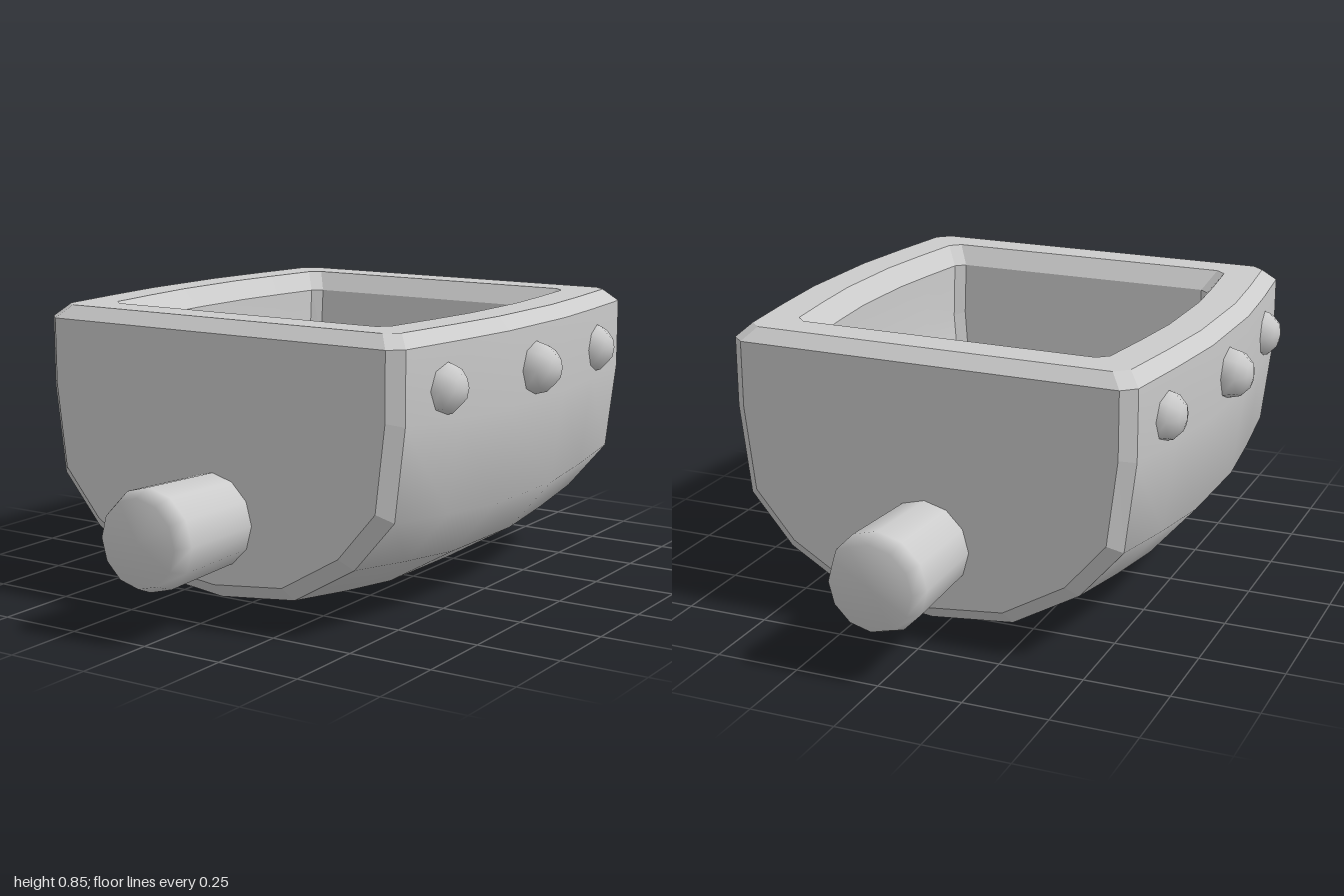
import * as THREE from 'three';

const material = new THREE.MeshStandardMaterial({ color: 0xcccccc });

// Half of the U-shaped section: [half width, drop] as fractions, rim to keel
const half = [[1, 0], [1, 0.27], [0.948, 0.615], [0.74, 0.81], [0.414, 0.963], [0, 1]];
const profile = [...half, ...half.slice(0, -1).reverse().map(([x, d]) => [-x, d])];

// Rings along the barrel: [z, half width, depth below the rim]
const halfRings = [[0.17, 0.667, 0.815], [0.4, 0.645, 0.793], [0.635, 0.616, 0.765], [0.672, 0.576, 0.722]];
const rings = [...halfRings.map(([z, w, d]) => [-z, w, d]).reverse(), ...halfRings];

// Surface through rows of points, smooth or faceted
function surface(rows, smooth) {
  const n = rows[0].length;
  const index = [];
  for (let i = 0; i < rows.length - 1; i++) {
    for (let j = 0; j < n - 1; j++) {
      const a = i * n + j, b = a + 1, c = a + n, d = c + 1;
      index.push(a, c, b, b, c, d);
    }
  }
  let geometry = new THREE.BufferGeometry();
  geometry.setAttribute('position', new THREE.Float32BufferAttribute(rows.flat(2), 3));
  geometry.setIndex(index);
  if (!smooth) geometry = geometry.toNonIndexed();
  geometry.computeVertexNormals();
  return geometry;
}

function add(parent, name, geometry) {
  const mesh = new THREE.Mesh(geometry, material);
  mesh.name = name;
  parent.add(mesh);
  return mesh;
}

// Bulging trough: smooth barrel with bevelled, flat ends
function shell(parent, name, { scale, top, depth, taper, inward }) {
  const rows = rings.map(([z, w, d]) => {
    const row = profile.map(([x, drop]) => [
      x * w * scale, top - drop * d * depth, z * (scale - taper * drop)]);
    return inward ? row.reverse() : row;
  });
  const hub = (row) => row.map(() => [0, top, row[0][2]]);
  const last = rows.length - 1;
  add(parent, name + 'Barrel', surface(rows.slice(1, last), true));
  add(parent, name + 'BackBevel', surface(rows.slice(0, 2), false));
  add(parent, name + 'FrontBevel', surface(rows.slice(last - 1), false));
  add(parent, name + 'BackEnd', surface([hub(rows[0]), rows[0]], false));
  add(parent, name + 'FrontEnd', surface([rows[last], hub(rows[last])], false));
}

export function createModel() {
  const model = new THREE.Group();
  model.name = 'trough';
  const body = new THREE.Group();
  body.name = 'body';
  body.rotation.y = -0.0165;
  model.add(body);

  // Outer hull and hollow
  shell(body, 'hull', { scale: 1, top: 0.82, depth: 1, taper: 0, inward: false });
  shell(body, 'hollow', { scale: 0.72, top: 0.8, depth: 0.82, taper: 0.06, inward: true });

  // Rim: outer chamfer, flat top and inner lip
  const loop = [
    ...rings.map(([z, w]) => [w, z]),
    ...rings.map(([z, w]) => [-w, z]).reverse(),
  ];
  loop.push(loop[0]);
  const rimRows = [[1, 0.82], [0.94, 0.857], [0.785, 0.857], [0.72, 0.8]]
    .map(([s, y]) => loop.map(([x, z]) => [x * s, y, z * s]));
  add(body, 'rim', surface(rimRows, false));

  // Flared pegs at both ends
  const pegProfile = [[0.132, 0.56], [0.147, 0.95], [0.126, 1], [0, 1]]
    .map(([r, y]) => new THREE.Vector2(r, y));
  const pegGeometry = new THREE.LatheGeometry(pegProfile, 12);
  for (const side of [1, -1]) {
    const peg = add(body, side > 0 ? 'frontPeg' : 'backPeg', pegGeometry);
    peg.rotation.x = side * Math.PI / 2;
    peg.position.y = 0.288;
  }

  // Three studs along each side
  const studGeometry = new THREE.SphereGeometry(0.078, 8, 6).rotateZ(Math.PI / 2);
  for (const side of [1, -1]) {
    for (const z of [-0.447, 0, 0.447]) {
      const stud = add(body, side > 0 ? 'leftStud' : 'rightStud', studGeometry);
      stud.position.set(side * (z === 0 ? 0.666 : 0.615), 0.695, z + side * 0.009);
    }
  }
  return model;
}
